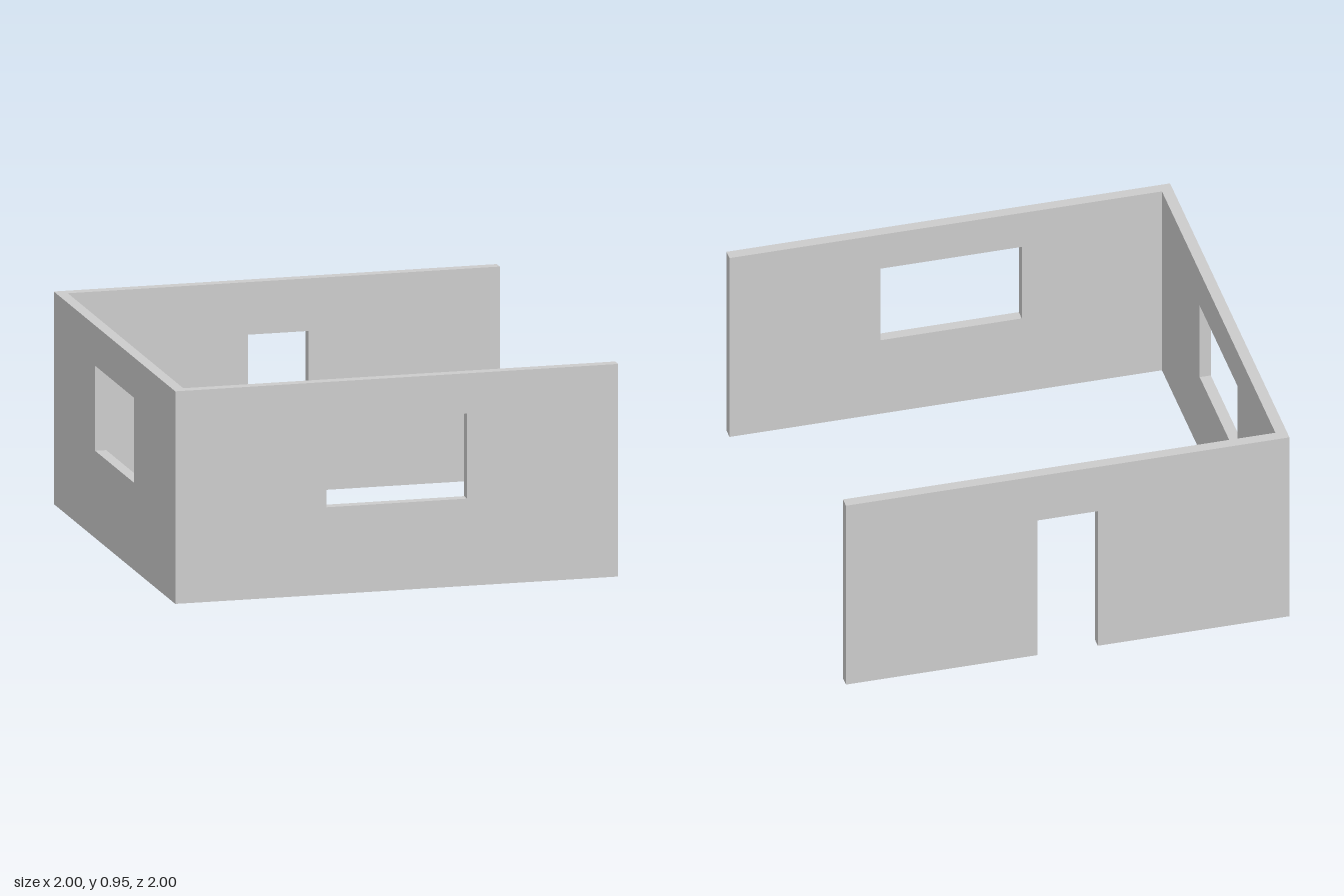
import * as THREE from 'three';

const HEIGHT = 0.95;
const THICK = 0.05;
const WINDOW = { half: 0.318, bottom: 0.39, top: 0.77 };
const DOOR = { half: 0.136, top: 0.715 };

const material = new THREE.MeshStandardMaterial({ color: 0xcccccc, flatShading: true });

// Upright wall centred on its length, with its thickness centred on z = 0
function makeWall(name, half, opening) {
  const outline = [[-half, 0]];
  if (opening === DOOR) {
    // The doorway reaches the floor, so it notches the outline
    outline.push([-DOOR.half, 0], [-DOOR.half, DOOR.top], [DOOR.half, DOOR.top], [DOOR.half, 0]);
  }
  outline.push([half, 0], [half, HEIGHT], [-half, HEIGHT]);
  const shape = new THREE.Shape(outline.map(([x, y]) => new THREE.Vector2(x, y)));

  if (opening === WINDOW) {
    const { half: w, bottom, top } = WINDOW;
    shape.holes.push(new THREE.Path([[-w, bottom], [-w, top], [w, top], [w, bottom]]
      .map(([x, y]) => new THREE.Vector2(x, y))));
  }

  const geometry = new THREE.ExtrudeGeometry(shape, { depth: THICK, bevelEnabled: false });
  geometry.translate(0, 0, -THICK / 2);
  const wall = new THREE.Mesh(geometry, material);
  wall.name = name;
  return wall;
}

export function createModel() {
  const group = new THREE.Group();
  group.name = 'threeWalledRoom';
  const offset = 1 - THICK / 2;

  // Front wall with a window
  const front = makeWall('frontWall', 1, WINDOW);
  front.position.z = offset;

  // Back wall with a doorway
  const back = makeWall('backWall', 1, DOOR);
  back.position.z = -offset;

  // Side wall with a window, fitted between the other two
  const side = makeWall('rightWall', 1 - THICK, WINDOW);
  side.rotation.y = Math.PI / 2;
  side.position.x = -offset;

  group.add(front, back, side);
  return group;
}
